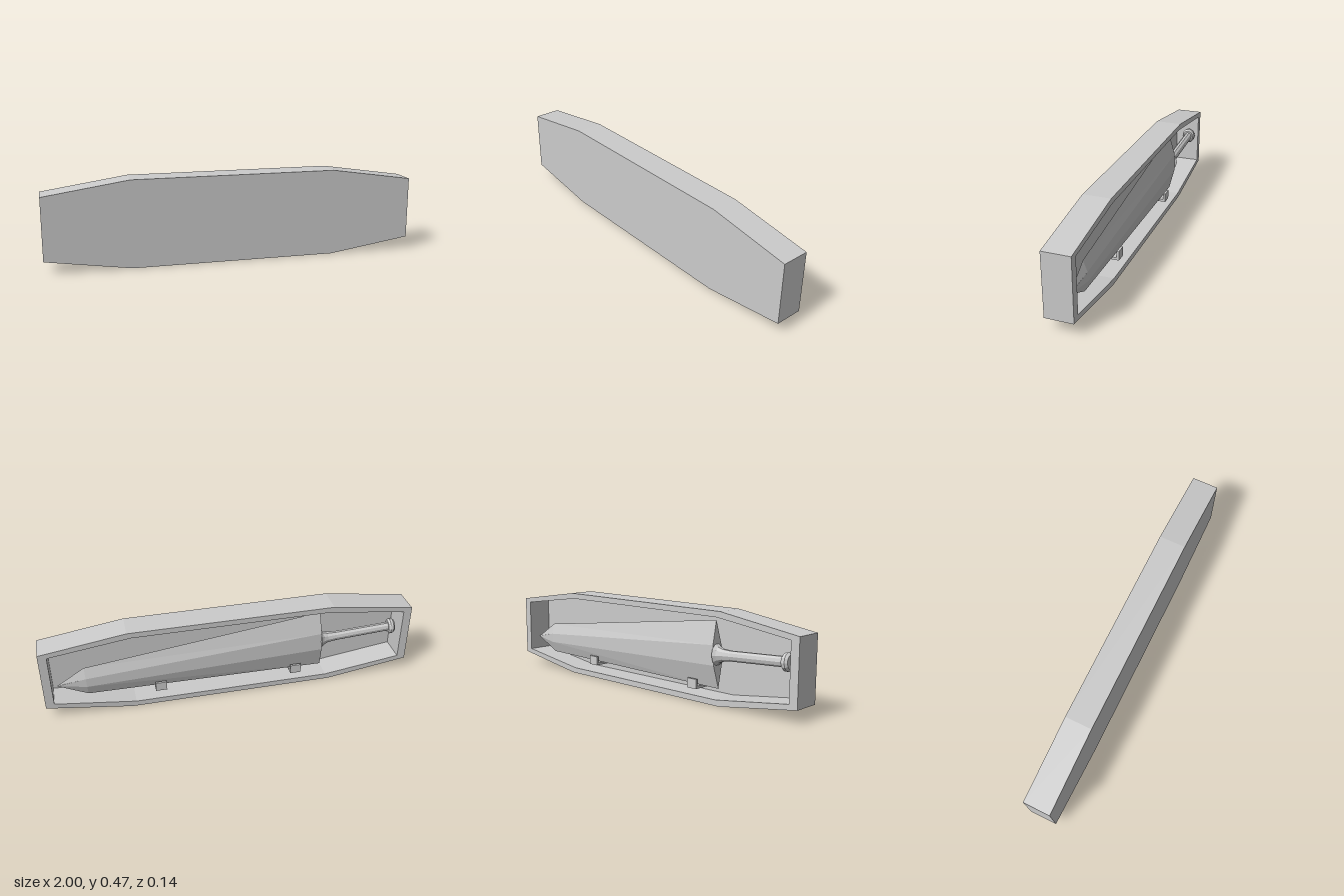
import * as THREE from 'three';

const grey = new THREE.MeshStandardMaterial({ color: 0xcccccc, flatShading: true, side: THREE.DoubleSide });

function add(parent, geometry, name, x = 0, y = 0, z = 0) {
  const mesh = new THREE.Mesh(geometry, grey);
  mesh.name = name;
  mesh.position.set(x, y, z);
  parent.add(mesh);
  return mesh;
}

// Long octagon: full height along the middle, tapering to shorter ends
function outline(endX, midX, endH, midH) {
  return [[endX, -endH], [endX, endH], [midX, midH], [-midX, midH],
    [-endX, endH], [-endX, -endH], [-midX, -midH], [midX, -midH]]
    .map(([x, y]) => new THREE.Vector2(x, y));
}

// Lofts a six-sided blade section through stations [x, halfWidth, halfThickness]
function bladeGeometry(stations) {
  const section = [[1, 0], [0.3, 1], [-0.3, 1], [-1, 0], [-0.3, -1], [0.3, -1]];
  const n = section.length;
  const positions = [];
  const index = [];
  for (const [x, w, t] of stations) {
    for (const [a, b] of section) positions.push(x, a * w, b * t);
  }
  for (let s = 0; s < stations.length - 1; s++) {
    for (let i = 0; i < n; i++) {
      const a = s * n + i, b = s * n + (i + 1) % n;
      index.push(a, b, b + n, a, b + n, a + n);
    }
  }
  // Close the wide base
  for (let i = 1; i < n - 1; i++) index.push(0, i + 1, i);
  const g = new THREE.BufferGeometry();
  g.setAttribute('position', new THREE.Float32BufferAttribute(positions, 3));
  g.setIndex(index);
  const flat = g.toNonIndexed();
  flat.computeVertexNormals();
  return flat;
}

export function createModel() {
  const model = new THREE.Group();
  const midY = 0.234, depth = 0.145, panel = 0.005;

  // Case: rim open at the back, thin panel closing the front
  const caseGroup = new THREE.Group();
  caseGroup.name = 'case';
  model.add(caseGroup);
  const outer = outline(1, 0.55, 0.167, 0.234);
  const rim = new THREE.Shape(outer);
  rim.holes.push(new THREE.Path(outline(0.955, 0.53, 0.146, 0.204).reverse()));
  add(caseGroup, new THREE.ExtrudeGeometry(rim, { depth: depth - panel, bevelEnabled: false }),
    'caseRim', 0, midY, -depth / 2);
  add(caseGroup, new THREE.ExtrudeGeometry(new THREE.Shape(outer), { depth: panel, bevelEnabled: false }),
    'casePanel', 0, midY, depth / 2 - panel);

  // Short sword, tilted slightly point-down; origin at the blade's base
  const sword = new THREE.Group();
  sword.name = 'sword';
  sword.position.set(-0.5, 0.245, -0.025);
  sword.rotation.z = -0.055;
  model.add(sword);
  add(sword, bladeGeometry([[0, 0.171, 0.032], [1.28, 0.084, 0.02], [1.43, 0.001, 0.001]]), 'blade');

  // Grip flares into the blade's base
  const gripProfile = [[0, 0.01], [0.055, 0], [0.042, -0.015], [0.032, -0.04], [0.027, -0.09], [0.026, -0.4]]
    .map(([r, y]) => new THREE.Vector2(r, y));
  const gripGeometry = new THREE.LatheGeometry(gripProfile.reverse(), 10);
  gripGeometry.rotateZ(-Math.PI / 2).scale(1, 1, 0.85);
  add(sword, gripGeometry, 'grip');

  // Pommel cap
  const pommelProfile = [[0, -0.018], [0.034, -0.018], [0.045, -0.006], [0.045, 0.008], [0.036, 0.018], [0, 0.018]]
    .map(([r, y]) => new THREE.Vector2(r, y));
  const pommelGeometry = new THREE.LatheGeometry(pommelProfile, 12);
  pommelGeometry.rotateZ(-Math.PI / 2).scale(1, 1, 0.85);
  add(sword, pommelGeometry, 'pommel', -0.41);

  // Hooks on the panel cradle the lower edge of the blade
  for (const [x, y] of [[0.39, 0.09], [-0.36, 0.08]]) {
    const hook = new THREE.Group();
    hook.name = 'bladeHook';
    hook.position.set(x, y, 0);
    model.add(hook);
    add(hook, new THREE.BoxGeometry(0.06, 0.014, 0.118), 'hookArm', 0, -0.016, 0.009);
    add(hook, new THREE.BoxGeometry(0.06, 0.05, 0.012), 'hookLip', 0, 0.002, -0.05);
  }
  return model;
}
